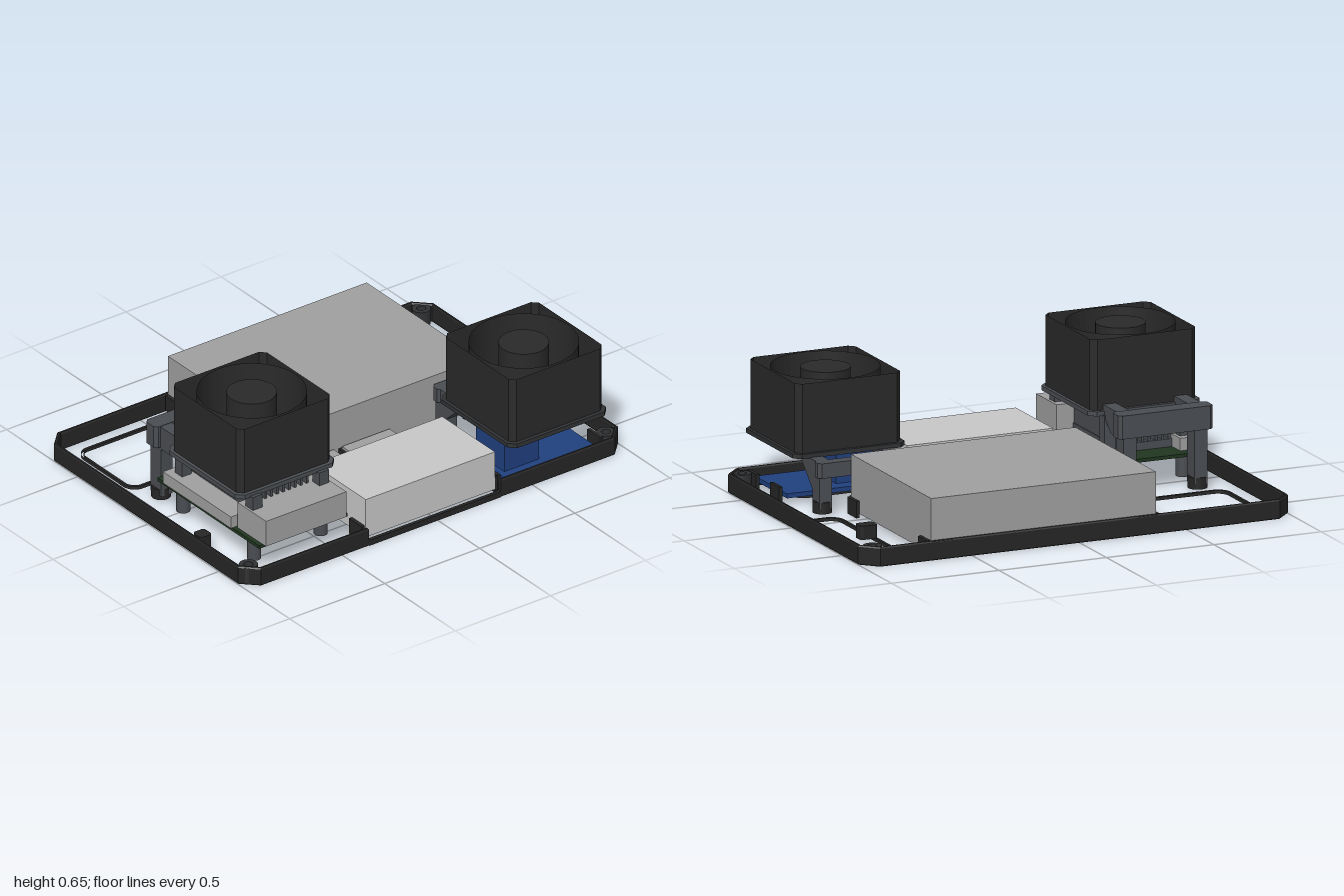
import * as THREE from 'three';

const mat = (name, color, side = THREE.FrontSide) => {
  const m = new THREE.MeshStandardMaterial({ color, side });
  m.name = name;
  return m;
};

export function createModel() {
  const root = new THREE.Group();
  root.name = 'equipmentTray';
  const black = mat('trayBlack', 0x262626);
  const fanBlack = mat('fanBlack', 0x2b2a2a, THREE.DoubleSide);
  const slate = mat('bracketSlate', 0x4a4d52);
  const darkSlate = mat('plateDarkSlate', 0x303234);
  const grey = mat('metalGrey', 0xa0a0a0);
  const light = mat('lightGrey', 0xc8c8c8);
  const blue = mat('boardBlue', 0x20407f);
  const green = mat('boardGreen', 0x203520);

  const add = (name, geo, material, parent = root) => {
    const mesh = new THREE.Mesh(geo, material);
    mesh.name = name;
    parent.add(mesh);
    return mesh;
  };
  // box given by its limits
  const box = (name, m, x0, x1, y0, y1, z0, z1, parent) =>
    add(name, new THREE.BoxGeometry(x1 - x0, y1 - y0, z1 - z0)
      .translate((x0 + x1) / 2, (y0 + y1) / 2, (z0 + z1) / 2), m, parent);
  const disc = (name, m, x, z, r, y0, y1, parent) =>
    add(name, new THREE.CylinderGeometry(r, r, y1 - y0, 24).translate(x, (y0 + y1) / 2, z), m, parent);
  // plan outline (shape y = world z) extruded between two heights
  const plan = (shape, y0, y1, opts = {}) =>
    new THREE.ExtrudeGeometry(shape, { depth: y1 - y0, bevelEnabled: false, curveSegments: 24, ...opts })
      .rotateX(Math.PI / 2).translate(0, y1, 0);
  // only the upright walls of an extruded outline
  const walls = (shape, y0, y1) => {
    const g = plan(shape, y0, y1);
    const { start, count } = g.groups[1];
    const out = new THREE.BufferGeometry();
    for (const key of ['position', 'normal']) {
      out.setAttribute(key, new THREE.BufferAttribute(
        g.attributes[key].array.slice(start * 3, (start + count) * 3), 3));
    }
    return out;
  };
  const poly = pts => new THREE.Shape(pts.map(p => new THREE.Vector2(...p)));
  const chamfered = (x, z, hx, hz, c) => poly([
    [x - hx + c, z - hz], [x + hx - c, z - hz], [x + hx, z - hz + c], [x + hx, z + hz - c],
    [x + hx - c, z + hz], [x - hx + c, z + hz], [x - hx, z + hz - c], [x - hx, z - hz + c]]);
  const rounded = (x0, x1, z0, z1, r) => {
    const s = new THREE.Shape();
    s.absarc(x1 - r, z1 - r, r, 0, Math.PI / 2);
    s.absarc(x0 + r, z1 - r, r, Math.PI / 2, Math.PI);
    s.absarc(x0 + r, z0 + r, r, Math.PI, Math.PI * 1.5);
    s.absarc(x1 - r, z0 + r, r, Math.PI * 1.5, Math.PI * 2);
    return s;
  };
  const circle = (x, z, r, Type = THREE.Path) => new Type().absarc(x, z, r, 0, Math.PI * 2);

  // tray rim with chamfered corners, open at the front
  const t = 0.016, c = 0.07, k = 0.007, zb = -0.737, zf = 0.705, g0 = -0.362, g1 = 0.33;
  add('trayRim', plan(poly([
    [g0, zf], [-1 + c, zf], [-1, zf - c], [-1, zb + c], [-1 + c, zb], [1 - c, zb], [1, zb + c],
    [1, zf - c], [1 - c, zf], [g1, zf], [g1, zf - t], [1 - c - k, zf - t], [1 - t, zf - c - k],
    [1 - t, zb + c + k], [1 - c - k, zb + t], [-1 + c + k, zb + t], [-1 + t, zb + c + k],
    [-1 + t, zf - c - k], [-1 + c + k, zf - t], [g0, zf - t]]), 0.006, 0.079,
  { bevelEnabled: true, bevelThickness: 0.006, bevelSize: 0.004, bevelOffset: -0.004, bevelSegments: 1 }), black);
  box('frontLip', black, g0, g1, 0, 0.027, zf - t, zf);

  // rounded edges of the floor openings
  for (const [x0, x1, z0, z1] of [
    [-0.25, 0.57, -0.61, -0.03], [-0.27, 0.23, 0.37, 0.61], [0.45, 0.79, 0.4, 0.61],
    [-0.9, -0.45, -0.65, -0.25], [0.77, 0.94, -0.58, 0.03]]) {
    for (const d of [0, 0.012]) {
      add('floorOpening', walls(rounded(x0 + d, x1 - d, z0 + d, z1 - d, 0.06 - d), 0.005, 0.02), fanBlack);
    }
  }

  // screw bosses and small rest blocks
  for (const [x, z] of [[-0.945, 0.635], [0.935, 0.635], [0.935, -0.67]]) {
    const ring = circle(x, z, 0.04, THREE.Shape);
    ring.holes.push(circle(x, z, 0.02));
    add('screwBoss', plan(ring, 0.01, 0.08), darkSlate);
  }
  for (const [x, z, h] of [[0.812, -0.345, 0.04], [0.325, 0.18, 0.04], [-0.945, 0.31, 0.03]]) {
    add('restBlock', plan(rounded(x - h, x + h, z - 0.03, z + 0.03, 0.015), 0.02, 0.08), black);
  }

  // storage drive, power unit and two low modules
  box('driveBox', grey, -0.36, 0.685, 0.027, 0.267, -0.72, 0.083);
  box('powerBox', light, -0.358, 0.322, 0.027, 0.21, 0.302, 0.675);
  for (const [x0, x1] of [[-0.36, -0.083], [-0.063, 0.212]]) {
    box('moduleTray', black, x0, x1, 0.02, 0.085, 0.085, 0.265);
    box('module', grey, x0 + 0.012, x1 - 0.012, 0.085, 0.097, 0.095, 0.253);
  }

  // holding clips around the loose parts
  for (const [x0, x1, z0, z1] of [[-0.36, 0.685, -0.715, 0.083], [-0.36, 0.322, 0.305, 0.672], [0.36, 0.88, 0.345, 0.665]]) {
    for (const [za, zc] of [[z0, z0 + 0.09], [z1 - 0.09, z1]]) {
      box('sideClip', black, x0 - 0.017, x0 - 0.001, 0.01, 0.083, za, zc);
      box('sideClip', black, x1 + 0.001, x1 + 0.017, 0.01, 0.083, za, zc);
    }
  }
  for (const [x, z] of [[-0.36, -0.729], [0.59, -0.729], [0.59, 0.092], [-0.36, 0.293], [0.23, 0.293]]) {
    box('endClip', black, x, x + 0.095, 0.01, 0.083, z - 0.007, z + 0.007);
  }

  // blue board with its tall block
  box('blueBoard', blue, 0.39, 0.86, 0.03, 0.05, 0.345, 0.667);
  box('blueBlock', blue, 0.42, 0.603, 0.05, 0.2, 0.41, 0.61);

  // green board, back plate, connectors and standoffs
  box('greenBoard', green, -0.885, -0.42, 0.13, 0.145, -0.09, 0.63);
  const back = rounded(-0.86, -0.45, -0.02, 0.56, 0.03);
  back.holes.push(rounded(-0.79, -0.52, 0.13, 0.41, 0.02));
  add('backPlate', plan(back, 0.115, 0.13), darkSlate);
  box('frontConnector', grey, -0.865, -0.442, 0.145, 0.267, 0.45, 0.652);
  box('sideConnector', grey, -0.892, -0.79, 0.145, 0.2, -0.04, 0.44);
  for (const x of [-0.83, -0.48]) for (const z of [0.02, 0.52]) {
    disc('standoff', slate, x, z, 0.03, 0.02, 0.13);
    box('post', slate, x - 0.025, x + 0.025, 0.145, 0.33, z - 0.025, z + 0.025);
  }

  // finned heat sink
  box('heatSinkBase', slate, -0.79, -0.52, 0.145, 0.18, 0.04, 0.5);
  for (let i = 0; i < 9; i++) {
    const x = -0.78 + i * 0.0312;
    box('heatSinkFin', slate, x - 0.006, x + 0.006, 0.18, 0.305, 0.045, 0.495);
  }

  // fan on a bracket: plate, open shell, hub, spokes and rear legs
  const fan = (name, x, z, plateY, topY, plateMat, legProfile, bar) => {
    const g = new THREE.Group();
    g.name = name;
    root.add(g);
    const y = plateY + 0.02, plate = chamfered(x, z, 0.26, 0.262, 0.03);
    plate.holes.push(circle(x, z, 0.233));
    add('mountPlate', plan(plate, plateY, y), plateMat, g);
    add('fanShell', walls(chamfered(x, z, 0.245, 0.245, 0.025), y, topY), fanBlack, g);
    add('fanDuct', walls(circle(x, z, 0.233, THREE.Shape), y, topY), fanBlack, g);
    disc('fanHub', fanBlack, x, z, 0.107, y - 0.01, topY - 0.005, g);
    for (let i = 0; i < 4; i++) {
      const a = Math.PI / 4 + i * Math.PI / 2;
      add('fanSpoke', new THREE.BoxGeometry(0.14, 0.02, 0.018).translate(0.17, 0, 0)
        .rotateY(a).translate(x, y, z), slate, g);
      disc('plateScrew', fanBlack, x + 0.29 * Math.cos(a), z + 0.29 * Math.sin(a), 0.013, y, y + 0.004, g);
    }
    // side profile is (-z, y), pushed out along x
    const side = poly(legProfile.map(([pz, py]) => [-pz, py]));
    for (const s of [-1, 1]) {
      const lx = x + s * 0.165;
      add('bracketLeg', new THREE.ExtrudeGeometry(side, { depth: 0.06, bevelEnabled: false })
        .rotateY(Math.PI / 2).translate(lx - 0.03, 0, 0), slate, g);
      disc('legFoot', black, lx, legProfile[0][0] + 0.035, 0.042, 0.01, 0.06, g);
    }
    add('bracketBar', plan(chamfered(x, bar.z, bar.w, bar.d, 0.015), bar.y0, bar.y1), slate, g);
  };
  fan('leftFan', -0.655, 0.268, 0.325, 0.655, slate,
    [[-0.185, 0.03], [-0.185, 0.37], [0.022, 0.37], [0.022, 0.33], [-0.055, 0.262], [-0.11, 0.262], [-0.11, 0.03]],
    { z: -0.155, w: 0.22, d: 0.04, y0: 0.27, y1: 0.372 });
  fan('rightFan', 0.622, 0.475, 0.232, 0.555, darkSlate,
    [[0.115, 0.03], [0.115, 0.235], [0.31, 0.235], [0.31, 0.222], [0.185, 0.105], [0.185, 0.03]],
    { z: 0.125, w: 0.205, d: 0.028, y0: 0.17, y1: 0.235 });

  return root;
}
